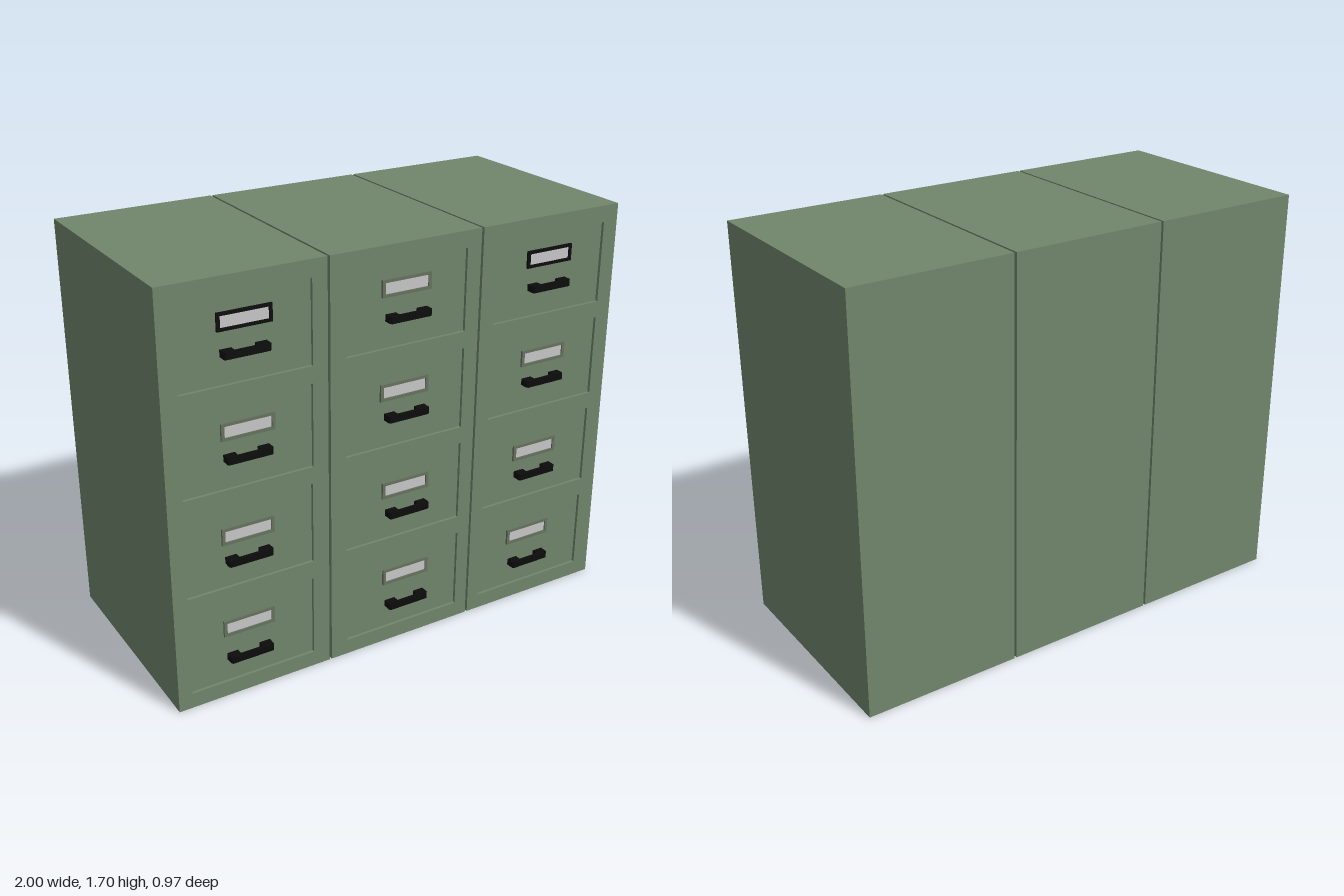
import * as THREE from 'three';

const mat = (name, color) => Object.assign(new THREE.MeshStandardMaterial({ color }), { name });

export function createModel() {
  const green = mat('cabinet green', 0x71866c);
  const frameGreen = mat('frame grey green', 0x66735f);
  const black = mat('handle black', 0x0c0c0c);
  const paper = mat('label grey', 0xc8c8c8);

  const H = 1.695, W = 0.66, BACK = -0.485, FRONT = 0.455, RECESS = 0.012;
  const PANEL = FRONT - RECESS;

  const add = (parent, name, geometry, material, x = 0, y = 0, z = 0) => {
    const m = new THREE.Mesh(geometry, material);
    m.name = name;
    m.position.set(x, y, z);
    parent.add(m);
    return m;
  };

  const rect = (target, x, y, w, h) => {
    target.moveTo(x - w / 2, y - h / 2);
    target.lineTo(x + w / 2, y - h / 2);
    target.lineTo(x + w / 2, y + h / 2);
    target.lineTo(x - w / 2, y + h / 2);
    target.closePath();
    return target;
  };
  const extrude = (shape, depth) => new THREE.ExtrudeGeometry(shape, { depth, bevelEnabled: false });

  // U-shaped pull: drawn in plan, extruded to its height
  const pull = new THREE.Shape([
    [-0.092, 0], [-0.046, 0], [-0.046, 0.027], [0.046, 0.027], [0.046, 0],
    [0.092, 0], [0.092, 0.036], [0.086, 0.042], [-0.086, 0.042], [-0.092, 0.036],
  ].map(([x, y]) => new THREE.Vector2(x, y)));
  const pullGeo = extrude(pull, 0.027).translate(0, 0, -0.0135).rotateX(Math.PI / 2);

  // Label holder: open frame round a paper card
  const frameShape = rect(new THREE.Shape(), 0, 0, 0.216, 0.069);
  frameShape.holes.push(rect(new THREE.Path(), 0, 0, 0.19, 0.045));
  const frameGeo = extrude(frameShape, 0.009);
  const cardGeo = new THREE.BoxGeometry(0.192, 0.047, 0.004);

  // Row heights, and sideways positions for the three cabinets in each row
  const rows = [
    { y: 1.46, h: 0.333, labelY: 1.529, pullY: 1.414, drawer: [-0.668, 0.002, 0.668], label: [-0.668, 0, 0.668], pull: [-0.674, 0.002, 0.664] },
    { y: 1.056, h: 0.337, labelY: 1.115, pullY: 1.013, drawer: [-0.67, 0.003, 0.667], label: [-0.668, -0.002, 0.668], pull: [-0.676, 0.002, 0.662] },
    { y: 0.649, h: 0.337, labelY: 0.695, pullY: 0.595, drawer: [-0.675, 0.005, 0.664], label: [-0.682, 0.012, 0.655], pull: [-0.686, 0.014, 0.652] },
    { y: 0.234, h: 0.34, labelY: 0.3, pullY: 0.173, drawer: [-0.677, 0.008, 0.66], label: [-0.69, 0.021, 0.647], pull: [-0.695, 0.019, 0.647] },
  ];

  const model = new THREE.Group();
  model.name = 'filingCabinets';

  ['right', 'middle', 'left'].forEach((side, c) => {
    const cx = (c - 1) * 0.67;
    const cabinet = new THREE.Group();
    cabinet.name = `${side}Cabinet`;
    model.add(cabinet);

    // Carcass, with a front frame that has an opening for each drawer
    add(cabinet, 'carcass', new THREE.BoxGeometry(W, H, PANEL - BACK), green, cx, H / 2, (PANEL + BACK) / 2);
    const front = rect(new THREE.Shape(), cx, H / 2, W, H);
    for (const r of rows) front.holes.push(rect(new THREE.Path(), r.drawer[c], r.y, 0.531, r.h));
    add(cabinet, 'frontFrame', extrude(front, RECESS), green, 0, 0, PANEL);

    rows.forEach((r, i) => {
      const drawer = new THREE.Group();
      drawer.name = `drawer${i + 1}`;
      cabinet.add(drawer);
      // Drawer face, set back inside its opening
      add(drawer, 'drawerFront', new THREE.BoxGeometry(0.525, r.h - 0.006, 0.002), green, r.drawer[c], r.y, PANEL + 0.001);
      const frameMat = i === 0 && c !== 1 ? black : frameGreen;
      add(drawer, 'labelFrame', frameGeo, frameMat, r.label[c], r.labelY, PANEL + 0.002);
      add(drawer, 'labelCard', cardGeo, paper, r.label[c], r.labelY, PANEL + 0.004);
      add(drawer, 'handle', pullGeo, black, r.pull[c], r.pullY, PANEL);
    });
  });

  return model;
}
